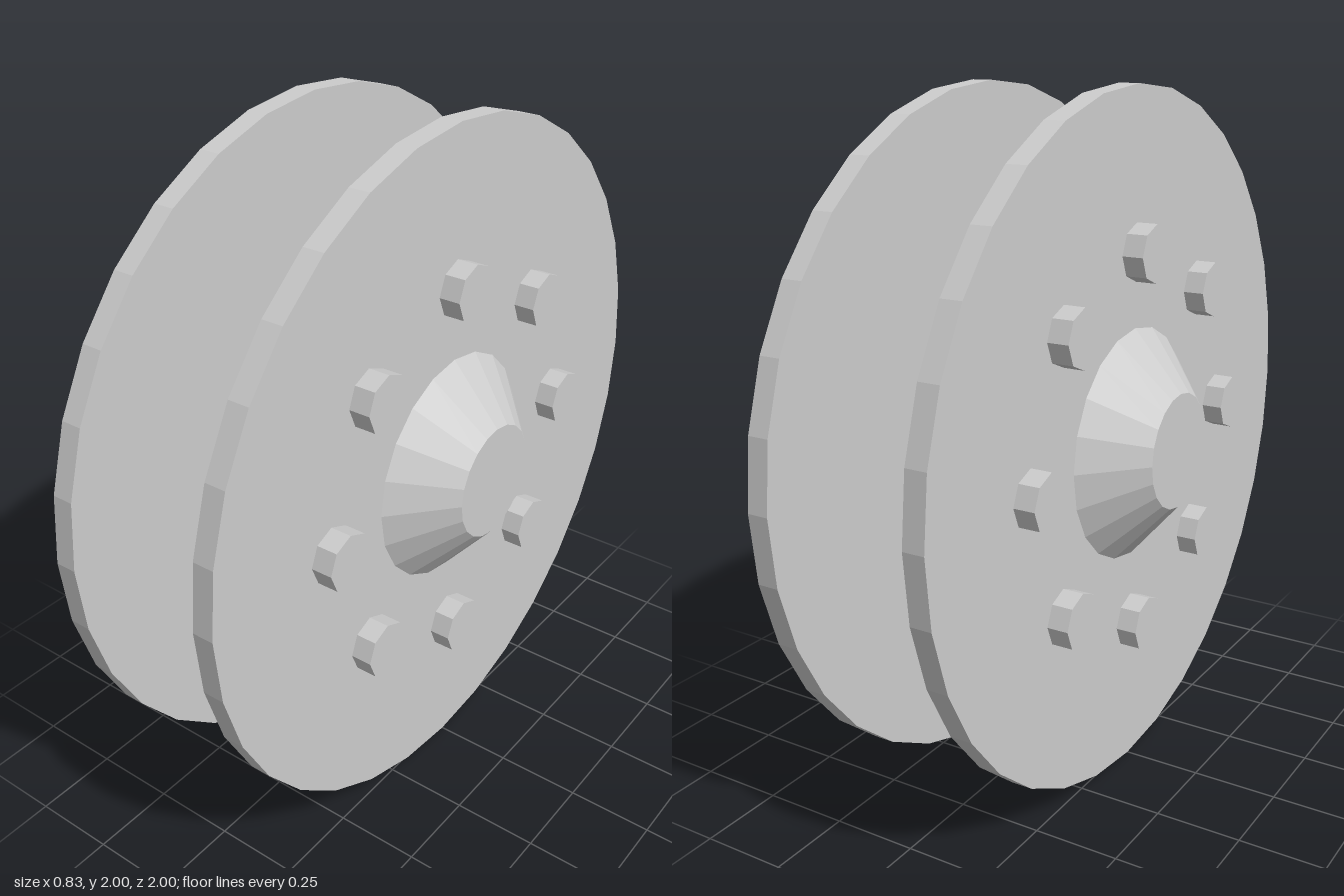
import * as THREE from 'three';

export function createModel() {
  const model = new THREE.Group();
  model.name = 'wheelPair';
  const steel = new THREE.MeshStandardMaterial({ color: 0xcccccc, flatShading: true });
  steel.name = 'light grey steel';

  // Round part lying along x, from x0 (radius r0) out to x1 (radius r1)
  function roundPart(name, x0, x1, r0, r1, sides) {
    const geometry = new THREE.CylinderGeometry(r1, r0, x1 - x0, sides);
    geometry.rotateZ(-Math.PI / 2);
    geometry.translate((x0 + x1) / 2, 0, 0);
    const mesh = new THREE.Mesh(geometry, steel);
    mesh.name = name;
    return mesh;
  }

  // One wheel: disc, tapered hub and a ring of eight bolts
  function wheel(name) {
    const group = new THREE.Group();
    group.name = name;
    group.add(roundPart('disc', 0.205, 0.268, 1, 1, 32));
    group.add(roundPart('hub', 0.265, 0.415, 0.34, 0.167, 20));
    for (let i = 0; i < 8; i++) {
      const angle = (i * Math.PI) / 4;
      const bolt = roundPart('bolt', 0.26, 0.33, 0.082, 0.082, 8);
      bolt.position.set(0, 0.55 * Math.cos(angle), 0.55 * Math.sin(angle));
      group.add(bolt);
    }
    group.position.y = 1;
    return group;
  }

  const left = wheel('leftWheel');
  const right = wheel('rightWheel');
  right.rotation.y = Math.PI;
  model.add(left, right);
  return model;
}
